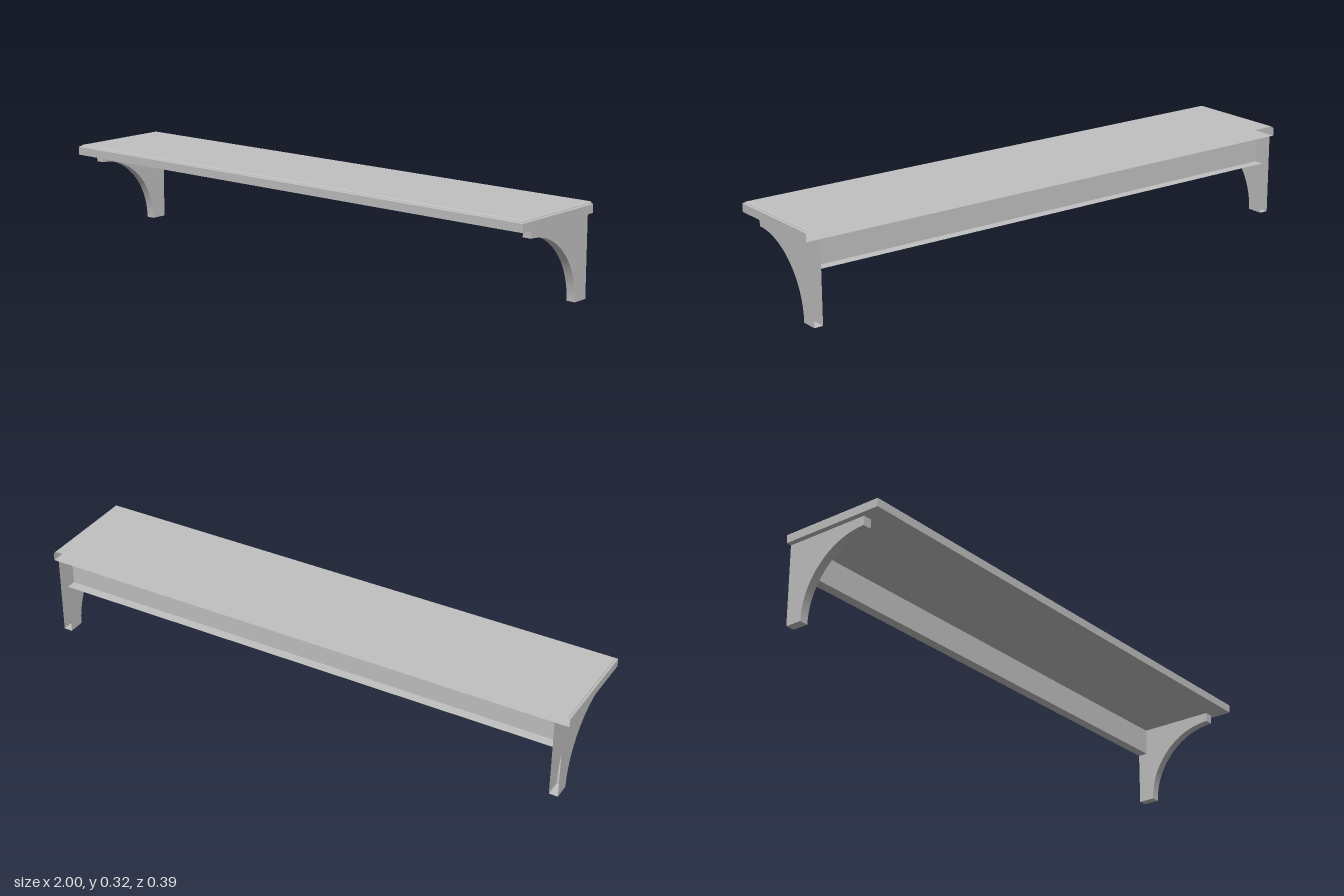
import * as THREE from 'three';
import { toCreasedNormals } from 'three/addons/utils/BufferGeometryUtils.js';

const BACK = -0.193, FRONT = 0.194, UNDER = 0.287;

// Drops every triangle lying in the wall plane, leaving the part open at the back
function openBack(geometry) {
  const src = geometry.index ? geometry.toNonIndexed() : geometry;
  const p = src.attributes.position, kept = [];
  for (let i = 0; i < p.count; i += 3) {
    if ([0, 1, 2].every(k => Math.abs(p.getZ(i + k) - BACK) < 1e-5)) continue;
    for (let k = 0; k < 3; k++) kept.push(p.getX(i + k), p.getY(i + k), p.getZ(i + k));
  }
  const out = new THREE.BufferGeometry();
  out.setAttribute('position', new THREE.Float32BufferAttribute(kept, 3));
  return toCreasedNormals(out, 0.5);
}

// Shelf board: edge profile [inset, y] carried round both ends and the front
function shelfGeometry() {
  const profile = [[0, UNDER], [0, 0.316], [0.002, 0.318], [0.006, 0.318],
    [0.007, 0.321], [0.009, 0.323], [0.012, 0.324]];
  const loops = profile.map(([i, y]) => [
    [-1 + i, y, BACK], [-1 + i, y, FRONT - i], [1 - i, y, FRONT - i], [1 - i, y, BACK]]);
  const pos = [];
  const quad = (a, b, c, d) => pos.push(...a, ...b, ...c, ...a, ...c, ...d);
  for (let j = 0; j < loops.length - 1; j++) {
    const lo = loops[j], hi = loops[j + 1];
    for (let k = 0; k < 3; k++) quad(lo[k], lo[k + 1], hi[k + 1], hi[k]);
  }
  quad(...loops[loops.length - 1]);
  quad(...[...loops[0]].reverse());
  const g = new THREE.BufferGeometry();
  g.setAttribute('position', new THREE.Float32BufferAttribute(pos, 3));
  g.computeVertexNormals();
  return g;
}

// Bracket: side profile with a concave quarter-circle cut, extruded across x
function bracketGeometry(width) {
  const tip = 0.121, r = 0.254;
  const s = new THREE.Shape();
  s.moveTo(BACK, 0);
  s.lineTo(tip - r, 0);
  s.absarc(tip, 0, r, Math.PI, Math.PI / 2, true);
  s.lineTo(tip, UNDER);
  s.lineTo(BACK, UNDER);
  s.closePath();
  const g = new THREE.ExtrudeGeometry(s, { depth: width, bevelEnabled: false, curveSegments: 24 });
  g.rotateY(-Math.PI / 2);
  g.translate(width / 2, 0, 0);
  return openBack(g);
}

export function createModel() {
  const group = new THREE.Group();
  group.name = 'wallShelf';
  const paint = new THREE.MeshStandardMaterial({ color: 0xc0c0c0, side: THREE.DoubleSide });
  paint.name = 'lightGrey';
  const add = (name, geometry, x = 0) => {
    const mesh = new THREE.Mesh(geometry, paint);
    mesh.name = name;
    mesh.position.x = x;
    group.add(mesh);
  };

  add('shelfBoard', shelfGeometry());

  // Brackets under both ends
  const width = 0.032, bracketX = 0.965;
  const bracket = bracketGeometry(width);
  add('leftBracket', bracket, bracketX);
  add('rightBracket', bracket, -bracketX);

  // Rail joining the brackets along the wall
  const depth = 0.036, bottom = 0.19;
  const rail = new THREE.BoxGeometry(2 * bracketX - width, UNDER - bottom, depth);
  rail.translate(0, (UNDER + bottom) / 2, BACK + depth / 2);
  add('backRail', openBack(rail));

  return group;
}
